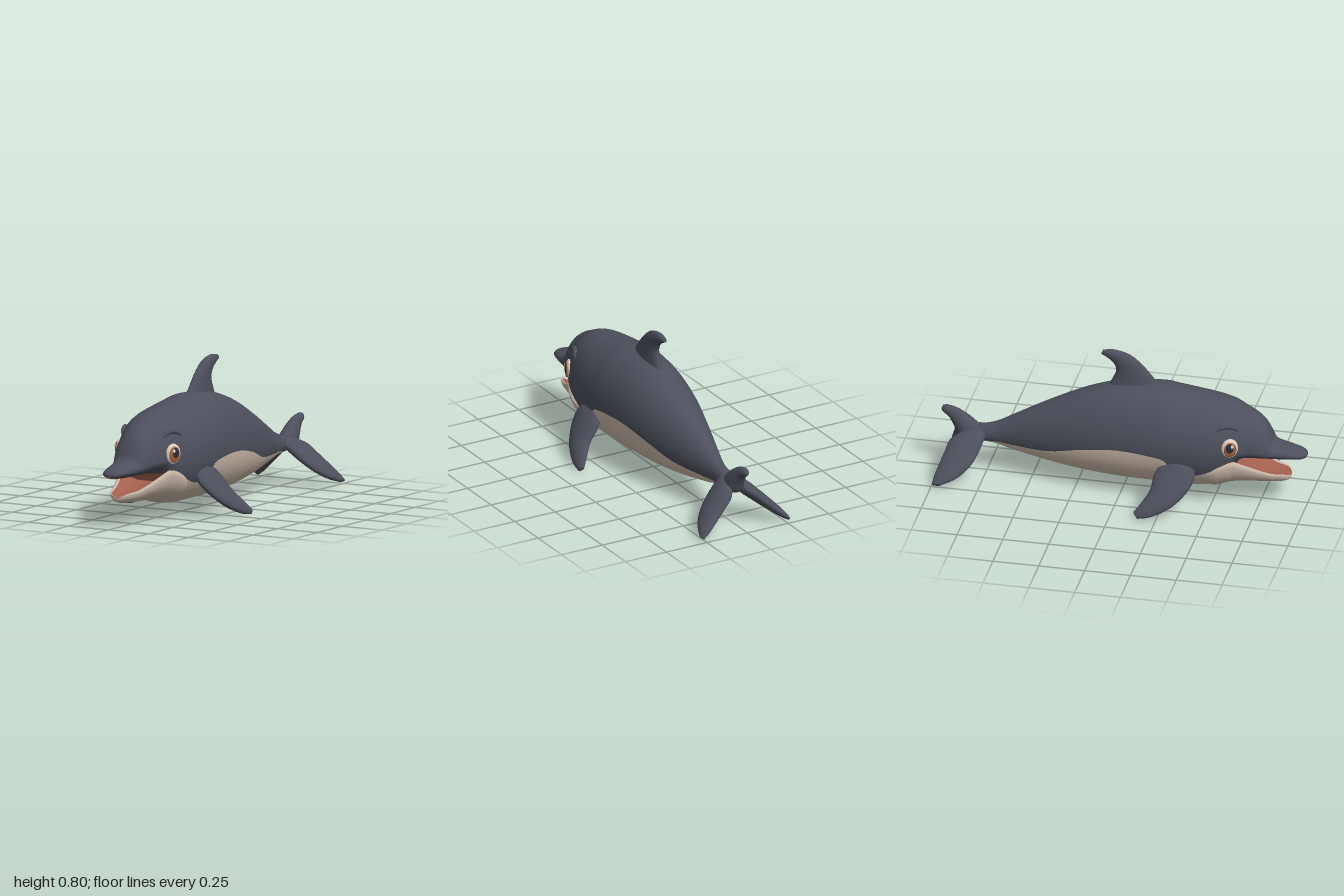
import * as THREE from 'three';

const mat = (name, color) => {
  const m = new THREE.MeshStandardMaterial({ color });
  m.name = name;
  return m;
};
const slate = mat('slate skin', 0x4d505c);
const cream = mat('cream belly', 0xcdbbab);
const mouth = mat('mouth red', 0xa5604f);
const eyeWhite = mat('eye cream', 0xdccdbd);
const irisBrown = mat('iris brown', 0xa2613f);
const pupilDark = mat('pupil dark', 0x2a2d3a);
const glintWhite = mat('glint white', 0xf0ece8);

// Smoothly resample a table of rows, n steps between each pair
function resample(rows, n) {
  const out = [];
  const at = i => rows[Math.max(0, Math.min(rows.length - 1, i))];
  for (let i = 0; i < rows.length - 1; i++) {
    for (let k = 0; k < n; k++) {
      const t = k / n, t2 = t * t, t3 = t2 * t;
      out.push(rows[i].map((b, c) => {
        const p = at(i - 1)[c], q = at(i + 1)[c], r = at(i + 2)[c];
        return b + 0.5 * ((q - p) * t + (2 * p - 5 * b + 4 * q - r) * t2 + (3 * b - p - 3 * q + r) * t3);
      }));
    }
  }
  out.push(rows[rows.length - 1]);
  return out;
}

// Skin closed rings of Vector3, ends collapsed to points; pick(i, j) gives the material index
function loft(name, rings, materials, pick = () => 0) {
  const m = rings[0].length;
  const cap = ring => {
    const c = new THREE.Vector3();
    ring.forEach(p => c.addScaledVector(p, 1 / m));
    return ring.map(() => c);
  };
  const all = [cap(rings[0]), ...rings, cap(rings[rings.length - 1])];
  const faces = materials.map(() => []);
  for (let i = 0; i < all.length - 1; i++) {
    for (let j = 0; j < m; j++) {
      const a = i * m + j, b = i * m + (j + 1) % m;
      faces[pick(i, j)].push(a, b, a + m, b, b + m, a + m);
    }
  }
  const geo = new THREE.BufferGeometry().setFromPoints(all.flat());
  geo.setIndex(faces.flat());
  let start = 0;
  faces.forEach((f, k) => {
    geo.addGroup(start, f.length, k);
    start += f.length;
  });
  geo.computeVertexNormals();
  const mesh = new THREE.Mesh(geo, materials.length > 1 ? materials : materials[0]);
  mesh.name = name;
  return mesh;
}

// Fin with oval sections; rows: leading xyz, trailing xyz, half thickness
function blade(name, rows, side = 1) {
  const st = resample(rows, 5).map(r => ({
    l: new THREE.Vector3(r[0] * side, r[1], r[2]),
    t: new THREE.Vector3(r[3] * side, r[4], r[5]),
    h: r[6],
  }));
  const centre = s => s.l.clone().add(s.t).multiplyScalar(0.5);
  const mid = st[Math.floor(st.length / 2)];
  const dir = centre(st[st.length - 1]).sub(centre(st[0]));
  const normal = dir.cross(mid.l.clone().sub(mid.t)).normalize();
  const rings = st.map(s => Array.from({ length: 20 }, (_, j) => {
    const a = j / 20 * Math.PI * 2;
    return centre(s)
      .addScaledVector(s.l.clone().sub(s.t), Math.cos(a) / 2)
      .addScaledVector(normal, Math.sin(a) * s.h);
  }));
  return loft(name, rings, [slate]);
}

// Body and upper beak: z, top, bottom, half width, height of widest point, colour line
function makeBody() {
  const rows = resample([
    [-0.88, 0.25, 0.21, 0.025, 0.23, 0.21], [-0.8, 0.275, 0.19, 0.043, 0.23, 0.19],
    [-0.7, 0.305, 0.178, 0.045, 0.235, 0.205], [-0.6, 0.36, 0.153, 0.068, 0.25, 0.205],
    [-0.4, 0.47, 0.115, 0.125, 0.28, 0.22], [-0.2, 0.565, 0.09, 0.175, 0.31, 0.28],
    [0, 0.625, 0.077, 0.205, 0.33, 0.315], [0.2, 0.64, 0.075, 0.222, 0.34, 0.305],
    [0.27, 0.633, 0.075, 0.223, 0.34, 0.28], [0.31, 0.627, 0.075, 0.222, 0.34, 0.21],
    [0.42, 0.612, 0.077, 0.217, 0.34, 0.2], [0.5, 0.602, 0.09, 0.205, 0.34, 0.23],
    [0.57, 0.588, 0.115, 0.19, 0.34, 0.255], [0.61, 0.575, 0.19, 0.175, 0.345, 0.265],
    [0.65, 0.555, 0.265, 0.155, 0.345, 0.27], [0.72, 0.52, 0.27, 0.125, 0.34, 0.274],
    [0.77, 0.475, 0.27, 0.105, 0.325, 0.274], [0.8, 0.42, 0.27, 0.092, 0.318, 0.274],
    [0.825, 0.368, 0.27, 0.085, 0.313, 0.274], [0.9, 0.345, 0.272, 0.072, 0.308, 0.276],
    [0.96, 0.33, 0.277, 0.057, 0.304, 0.281], [0.99, 0.316, 0.285, 0.035, 0.3, 0.288],
    [1, 0.304, 0.296, 0.01, 0.3, 0.297],
  ], 4);
  const NU = 32, NL = 20;
  const rings = rows.map(([z, top, bot, w, yc, line]) => {
    const a = Math.asin(Math.max(-1, Math.min(0, (line - yc) / (yc - bot))));
    return Array.from({ length: NU + NL }, (_, j) => {
      const th = j < NU
        ? a + (Math.PI - 2 * a) * j / NU
        : Math.PI - a + (Math.PI + 2 * a) * (j - NU) / NL;
      const s = Math.sin(th);
      return new THREE.Vector3(w * Math.cos(th), yc + s * (s > 0 ? top - yc : yc - bot), z);
    });
  });
  return loft('body', rings, [slate, cream, mouth], (i, j) => {
    if (j < NU) return 0;
    return rows[Math.min(Math.max(i - 1, 0), rows.length - 1)][0] < 0.57 ? 1 : 2;
  });
}

// Lower jaw: z, lip height, bottom, half width; its top is hollowed for the mouth
function makeJaw() {
  const rows = resample([
    [0.45, 0.19, 0.1, 0.16], [0.52, 0.24, 0.093, 0.192], [0.58, 0.275, 0.112, 0.186],
    [0.62, 0.283, 0.118, 0.166], [0.68, 0.255, 0.124, 0.138], [0.75, 0.222, 0.126, 0.108],
    [0.82, 0.198, 0.13, 0.085], [0.88, 0.19, 0.137, 0.062], [0.905, 0.178, 0.148, 0.035],
    [0.91, 0.168, 0.158, 0.012],
  ], 4);
  const N = 24;
  const inner = [[1, 0], [0.92, 0.05], [0.82, -0.03], [0.6, -0.28], [0.3, -0.35], [0, -0.36],
    [-0.3, -0.35], [-0.6, -0.28], [-0.82, -0.03], [-0.92, 0.05]];
  const rings = rows.map(([z, top, bot, w]) => {
    const ring = [];
    for (let j = 0; j < N; j++) {
      const th = Math.PI * (1 + j / N);
      ring.push(new THREE.Vector3(w * Math.cos(th), top + (top - bot) * Math.sin(th), z));
    }
    inner.forEach(([u, v]) => ring.push(new THREE.Vector3(u * w, top + v * (top - bot), z)));
    return ring;
  });
  return loft('lowerJaw', rings, [cream, mouth], (i, j) => (j >= N + 2 && j < N + 8 ? 1 : 0));
}

// Layered oval eye
function makeEye(side) {
  const eye = new THREE.Group();
  eye.name = side > 0 ? 'leftEye' : 'rightEye';
  const layer = (name, material, rx, ry, rz, x, y, z) => {
    const m = new THREE.Mesh(new THREE.SphereGeometry(1, 24, 16), material);
    m.name = name;
    m.scale.set(rx, ry, rz);
    m.position.set(x * side, y, z);
    eye.add(m);
  };
  layer('eyeWhite', eyeWhite, 0.046, 0.056, 0.02, 0, 0, 0);
  layer('iris', irisBrown, 0.034, 0.043, 0.01, 0, -0.002, 0.0135);
  layer('pupil', pupilDark, 0.023, 0.031, 0.008, 0.003, 0.005, 0.0175);
  layer('glint', glintWhite, 0.008, 0.01, 0.004, -0.008, 0.018, 0.0225);
  eye.position.set(0.166 * side, 0.378, 0.61);
  eye.rotation.y = 1.156 * side;
  return eye;
}

export function createModel() {
  const group = new THREE.Group();
  group.name = 'dolphin';
  group.add(makeBody(), makeJaw());

  // Central fins: leading z y, trailing z y, half thickness
  const central = ([lz, ly, tz, ty, h]) => [0, ly, lz, 0, ty, tz, h];
  group.add(blade('dorsalFin', [
    [0.21, 0.6, -0.1, 0.56, 0.045], [0.17, 0.655, -0.07, 0.63, 0.034], [0.1, 0.735, -0.045, 0.69, 0.029],
    [0.03, 0.79, -0.06, 0.735, 0.025], [-0.05, 0.812, -0.095, 0.765, 0.02], [-0.115, 0.806, -0.127, 0.78, 0.01],
  ].map(central)));
  group.add(blade('upperTailLobe', [
    [-0.74, 0.23, -0.84, 0.19, 0.035], [-0.79, 0.275, -0.905, 0.21, 0.05], [-0.85, 0.325, -0.93, 0.26, 0.042],
    [-0.91, 0.36, -0.955, 0.305, 0.03], [-0.965, 0.375, -0.99, 0.335, 0.02], [-0.99, 0.37, -0.998, 0.352, 0.009],
  ].map(central)));

  for (const side of [1, -1]) {
    const label = side > 0 ? 'left' : 'right';
    // Flippers slope outward as they drop
    const fx = y => 0.19 + (0.25 - y) * 0.77;
    group.add(blade(label + 'Flipper', [
      [0.4, 0.29, 0.29, 0.3, 0.025], [0.43, 0.22, 0.245, 0.26, 0.038], [0.405, 0.15, 0.21, 0.205, 0.036],
      [0.33, 0.075, 0.2, 0.14, 0.031], [0.23, 0.025, 0.165, 0.085, 0.024], [0.15, 0.009, 0.125, 0.035, 0.011],
    ].map(([lz, ly, tz, ty, h]) => [fx(ly), ly, lz, fx(ty), ty, tz, h]), side));
    // Flukes: x, leading z, trailing z, half thickness
    group.add(blade(label + 'Fluke', [
      [0.01, -0.74, -0.84, 0.025], [0.06, -0.755, -0.93, 0.036], [0.12, -0.775, -0.955, 0.034],
      [0.18, -0.81, -0.975, 0.029], [0.23, -0.87, -0.99, 0.022], [0.265, -0.95, -0.993, 0.01],
    ].map(([x, lz, tz, h]) => [x, 0.265 - 0.9 * x, lz, x, 0.265 - 0.9 * x, tz, h]), side));
    // Brow ridge: centre xyz, half height, half thickness
    group.add(blade(label + 'Brow', [
      [0.127, 0.465, 0.65, 0.004, 0.004], [0.133, 0.485, 0.628, 0.013, 0.013], [0.142, 0.496, 0.592, 0.015, 0.015],
      [0.158, 0.489, 0.56, 0.012, 0.012], [0.172, 0.472, 0.535, 0.003, 0.003],
    ].map(([x, y, z, r, h]) => [x, y + r, z, x, y - r, z, h]), side));
    group.add(makeEye(side));
  }
  return group;
}
